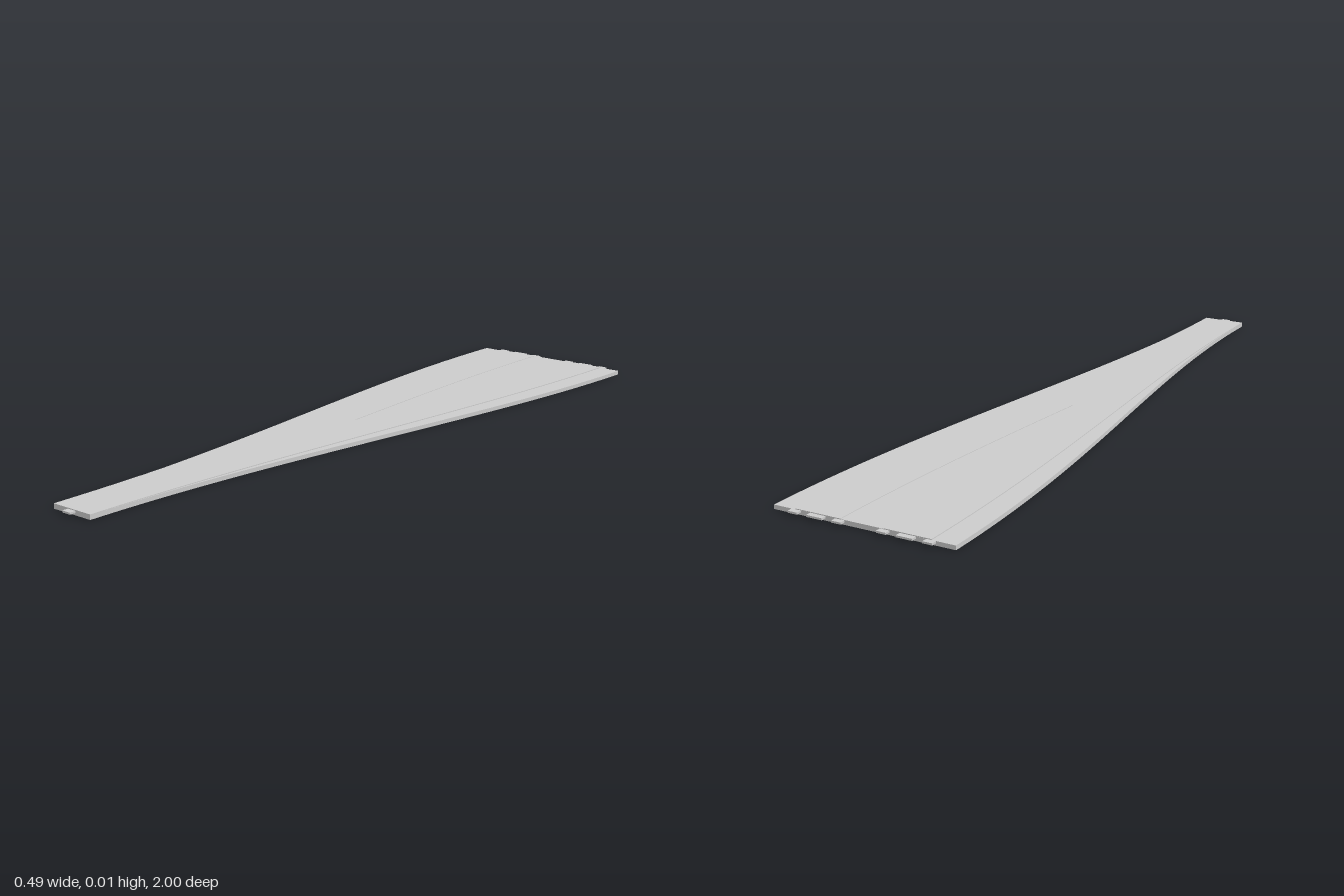
import * as THREE from 'three';

const FRONT = 0.983, BACK = -0.985, HALF = 0.0625, STEPS = 48;
const material = new THREE.MeshStandardMaterial({ color: 0xcccccc, side: THREE.DoubleSide });

// Lane shell: an S-curved deck with side walls and end walls, open underneath
function laneGeometry(shift, bottom, top) {
  const pos = [], idx = [];
  for (let i = 0; i <= STEPS; i++) {
    const t = i / STEPS;
    const z = THREE.MathUtils.lerp(FRONT, BACK, t);
    const c = shift * t * t * (3 - 2 * t);
    pos.push(c - HALF, bottom, z, c - HALF, top, z, c + HALF, top, z, c + HALF, bottom, z);
  }
  for (let i = 0; i < STEPS; i++) {
    for (let k = 0; k < 3; k++) {
      const a = i * 4 + k, b = a + 1, c = a + 4, d = b + 4;
      idx.push(a, b, c, b, d, c);
    }
  }
  const e = STEPS * 4;
  idx.push(0, 3, 2, 0, 2, 1, e, e + 2, e + 3, e, e + 1, e + 2);
  const indexed = new THREE.BufferGeometry();
  indexed.setAttribute('position', new THREE.Float32BufferAttribute(pos, 3));
  indexed.setIndex(idx);
  const geometry = indexed.toNonIndexed();
  geometry.computeVertexNormals();
  return geometry;
}

export function createModel() {
  const group = new THREE.Group();
  const add = (name, geometry) => {
    const mesh = new THREE.Mesh(geometry, material);
    mesh.name = name;
    group.add(mesh);
    return mesh;
  };
  const addTab = (name, x, z, width) =>
    add(name, new THREE.BoxGeometry(width, 0.005, 0.018)).position.set(x, 0.0085, z);

  for (const [side, s] of [['left', 1], ['right', -1]]) {
    // Four walled lanes fanning out from the narrow end
    add(side + 'OuterLane', laneGeometry(s * 0.1845, 0, 0.011));
    add(side + 'InnerLane', laneGeometry(s * 0.0615, 0, 0.012));
    // Thin cover over the joint between two lanes
    add(side + 'JointCover', laneGeometry(s * 0.122, 0.0112, 0.0132));
    // Connector tabs on the wide end
    addTab(side + 'InnerTab', s * 0.061, -0.991, 0.026);
    addTab(side + 'MiddleTab', s * 0.122, -0.991, 0.043);
    addTab(side + 'OuterTab', s * 0.183, -0.991, 0.026);
  }
  // Connector tab on the narrow end
  addTab('frontTab', 0, 0.991, 0.026);
  return group;
}
